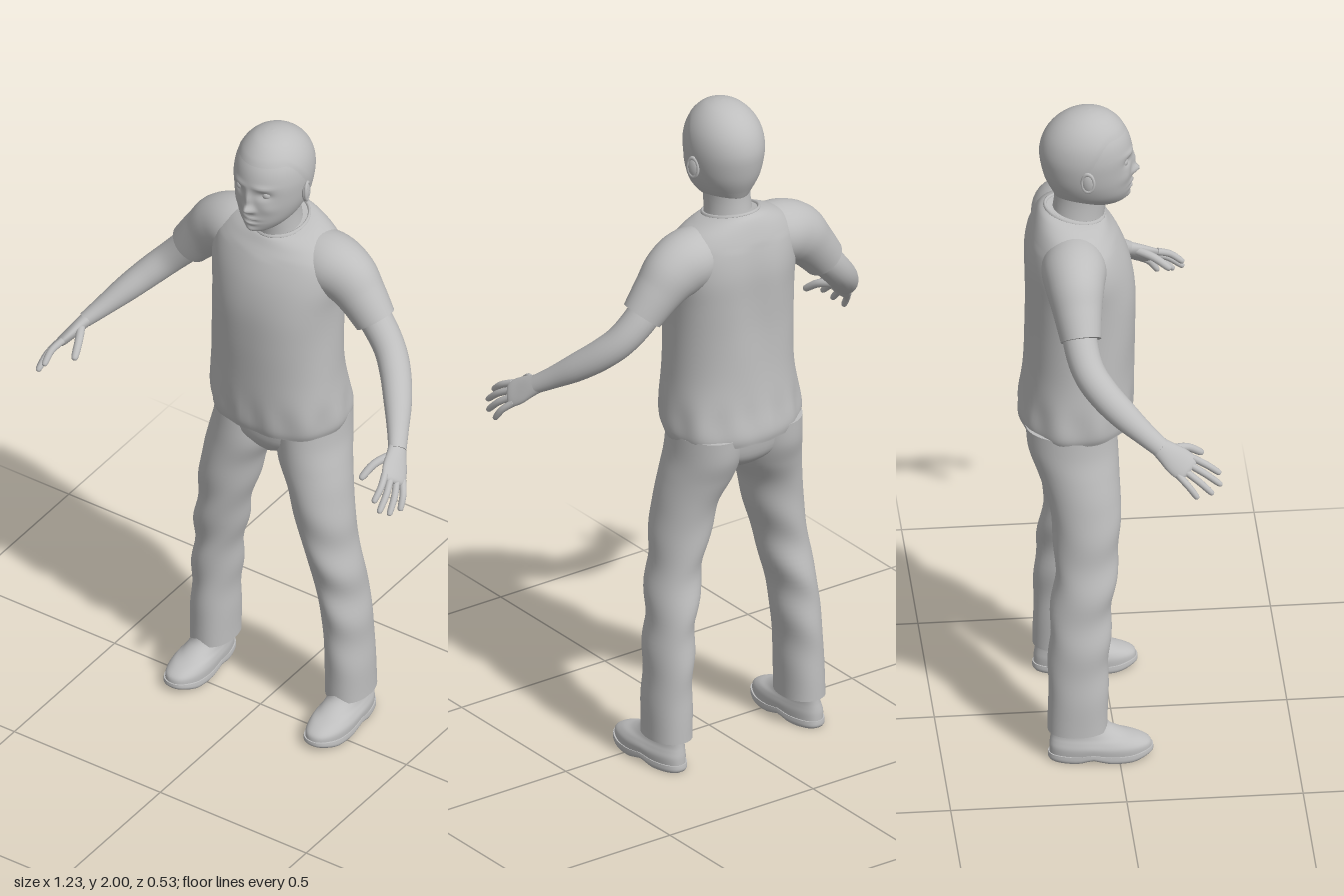
import * as THREE from 'three';

const clay = new THREE.MeshStandardMaterial({ color: 0xbebebe });
clay.name = 'light grey';
clay.side = THREE.DoubleSide;

// Smooth interpolation through table rows, t from 0 to 1
function sample(rows, t) {
  const s = Math.min(Math.max(t, 0), 1) * (rows.length - 1);
  const i = Math.min(Math.floor(s), rows.length - 2), f = s - i;
  const a = rows[Math.max(i - 1, 0)], b = rows[i], c = rows[i + 1], d = rows[Math.min(i + 2, rows.length - 1)];
  return b.map((_, k) => b[k] + 0.5 * f * (c[k] - a[k] + f * (2 * a[k] - 5 * b[k] + 4 * c[k] - d[k]
    + f * (3 * (b[k] - c[k]) + d[k] - a[k]))));
}

// Closed tube surface from point(u, angle), with flat caps on both ends
function skin(point, nu, nv, caps = true) {
  const pos = [], idx = [];
  for (let i = 0; i <= nu; i++)
    for (let j = 0; j < nv; j++) pos.push(...point(i / nu, (j / nv) * Math.PI * 2));
  for (let i = 0; i < nu; i++)
    for (let j = 0; j < nv; j++) {
      const k = (j + 1) % nv, a = i * nv + j, b = i * nv + k;
      idx.push(a, b, a + nv, b, b + nv, a + nv);
    }
  if (caps) for (const i of [0, nu]) {
    const start = pos.length / 3, mid = [0, 0, 0];
    for (let j = 0; j < nv; j++) {
      const p = pos.slice((i * nv + j) * 3, (i * nv + j) * 3 + 3);
      p.forEach((v, k) => { mid[k] += v / nv; });
      pos.push(...p);
    }
    pos.push(...mid);
    for (let j = 0; j < nv; j++) {
      const a = start + j, b = start + (j + 1) % nv;
      idx.push(start + nv, ...(i === 0 ? [b, a] : [a, b]));
    }
  }
  const g = new THREE.BufferGeometry();
  g.setAttribute('position', new THREE.Float32BufferAttribute(pos, 3));
  g.setIndex(idx);
  g.computeVertexNormals();
  return g;
}

// Point on a stack of level sections: [y, centreX, halfWidth, frontZ, backZ, squareness, tilt]
function level(rows, t, ang) {
  const [y, cx, hw, zf, zb, p, tilt] = sample(rows, t);
  const round = v => Math.sign(v) * Math.abs(v) ** (2 / p);
  const dz = -round(Math.sin(ang)) * (zf - zb) / 2;
  return [cx + round(Math.cos(ang)) * hw, y + tilt * dz, (zf + zb) / 2 + dz];
}
const stack = (rows, nu, nv, rule = p => p) => skin((u, a) => rule(level(rows, u, a)), nu, nv);

// Sweep along a path: rows [x, y, z, sideRadius, otherRadius]
function sweep(rows, side, nu, nv) {
  return skin((u, ang) => {
    const [x, y, z, a, b] = sample(rows, u);
    const q = sample(rows, u + 0.01), r = sample(rows, u - 0.01);
    const t = new THREE.Vector3(q[0] - r[0], q[1] - r[1], q[2] - r[2]).normalize();
    const s = new THREE.Vector3(...side).addScaledVector(t, -t.dot(new THREE.Vector3(...side))).normalize();
    const n = t.clone().cross(s);
    return new THREE.Vector3(x, y, z).addScaledVector(s, a * Math.cos(ang)).addScaledVector(n, b * Math.sin(ang)).toArray();
  }, nu, nv);
}

function mirrored(geo) {
  const g = geo.clone().scale(-1, 1, 1), ix = g.index.array;
  for (let i = 0; i < ix.length; i += 3) [ix[i], ix[i + 1]] = [ix[i + 1], ix[i]];
  g.computeVertexNormals();
  return g;
}

const headRows = [
  [1.70, 0, 0.035, 0.03, -0.12, 2, 0], [1.715, 0, 0.055, 0.046, -0.15, 2, 0], [1.745, 0, 0.078, 0.056, -0.168, 2, 0],
  [1.785, 0, 0.095, 0.058, -0.185, 2, 0], [1.83, 0, 0.104, 0.06, -0.196, 2, 0], [1.875, 0, 0.107, 0.061, -0.2, 2, 0],
  [1.92, 0, 0.1, 0.05, -0.188, 2, 0], [1.957, 0, 0.081, 0.027, -0.162, 2, 0], [1.983, 0, 0.054, -0.002, -0.127, 2, 0],
  [1.995, 0, 0.026, -0.034, -0.092, 2, 0], [1.998, 0, 0.002, -0.06, -0.064, 2, 0]];
// Face relief: [x, y, spreadX, spreadY, amount], mirrored in x
const relief = [
  [0, 1.798, 0.013, 0.014, 0.023], [0, 1.83, 0.010, 0.024, 0.012], [0.014, 1.794, 0.008, 0.008, 0.006],
  [0.043, 1.848, 0.02, 0.013, -0.010], [0.04, 1.875, 0.026, 0.008, 0.005], [0.055, 1.80, 0.02, 0.02, 0.004],
  [0, 1.764, 0.022, 0.006, 0.008], [0, 1.755, 0.028, 0.003, -0.004], [0, 1.746, 0.018, 0.006, 0.007], [0, 1.72, 0.02, 0.011, 0.008]];

function face([x, y, z]) {
  const front = THREE.MathUtils.smoothstep(z, -0.04, 0.02);
  for (const [bx, by, sx, sy, amp] of relief)
    z += front * amp * Math.exp(-(((Math.abs(x) - bx) / sx) ** 2) - ((y - by) / sy) ** 2);
  return [x, y, z];
}

// Short hair following the skull from a hairline that drops to the nape
function hair(u, ang) {
  const back = (1 + Math.sin(ang)) / 2;
  const start = 0.64 - 0.43 * THREE.MathUtils.smoothstep(back, 0.2, 0.85);
  const [x, y, z] = level(headRows, start + (1 - start) * u, ang);
  const k = 1 + 0.018 * Math.min(1, u * 8);
  return [x * k, Math.min(y + 0.002 * u, 2), (z + 0.065) * k - 0.065];
}

// Cloth folds: gathered hem, hollow spine and soft creases
function shirtFolds([x, y, z]) {
  const hem = Math.exp(-(((y - 1.05) / 0.06) ** 2)), ang = Math.atan2(z + 0.1, x);
  const k = 1 + 0.022 * hem * Math.sin(ang * 11 + 1) + 0.008 * Math.sin(ang * 5 + y * 16) * (y < 1.6 ? 1 : 0);
  const spine = z < -0.15 ? 0.014 * Math.exp(-((x / 0.05) ** 2) - ((y - 1.38) / 0.16) ** 2) : 0;
  return [x * k, y, (z + 0.1) * k - 0.1 + spine];
}
function trouserFolds([x, y, z]) {
  const fold = 0.004 * Math.sin(y * 38 + x * 25) * Math.exp(-(((y - 0.5) / 0.25) ** 2));
  return [x + fold, y, z + fold];
}

export function createModel() {
  const model = new THREE.Group();
  const add = (name, geo) => {
    const m = new THREE.Mesh(geo, clay);
    m.name = name;
    model.add(m);
  };
  const pair = (name, geo) => {
    add('left ' + name, geo);
    add('right ' + name, mirrored(geo));
  };

  // Head
  add('head', stack(headRows, 80, 110, face));
  add('hair', skin(hair, 24, 64, false));
  add('neck', stack([[1.60, 0, 0.08, -0.02, -0.18, 2, 0], [1.66, 0, 0.068, -0.018, -0.168, 2, 0],
    [1.72, 0, 0.063, -0.008, -0.16, 2, 0], [1.78, 0, 0.066, 0, -0.16, 2, 0]], 12, 32));
  pair('eye', new THREE.SphereGeometry(0.015, 16, 12).translate(0.043, 1.848, 0.031));
  pair('ear', new THREE.SphereGeometry(1, 16, 12).scale(0.010, 0.031, 0.020).rotateY(0.3).translate(0.106, 1.82, -0.072));
  pair('ear rim', new THREE.TorusGeometry(0.022, 0.005, 8, 20).scale(0.8, 1.3, 1).rotateY(Math.PI / 2 + 0.3).translate(0.109, 1.822, -0.074));

  // Shirt
  add('shirt body', stack([
    [1.0, 0, 0.2, 0.052, -0.258, 2.3, 0.03], [1.03, 0, 0.208, 0.058, -0.262, 2.3, 0.02], [1.1, 0, 0.204, 0.062, -0.252, 2.3, 0],
    [1.2, 0, 0.195, 0.066, -0.246, 2.2, 0], [1.32, 0, 0.192, 0.07, -0.246, 2.2, 0], [1.43, 0, 0.195, 0.068, -0.248, 2.2, 0],
    [1.52, 0, 0.205, 0.052, -0.248, 2.1, 0], [1.59, 0, 0.2, 0.025, -0.238, 2, 0], [1.635, 0, 0.165, 0.0, -0.222, 2, -0.06],
    [1.662, 0, 0.115, -0.012, -0.205, 2, -0.15], [1.672, 0, 0.08, -0.02, -0.188, 2, -0.2]], 60, 72, shirtFolds));
  add('collar', skin((u, a) => {
    const w = u * Math.PI * 2, r = 1 + 0.06 * Math.cos(w);
    const dz = -Math.sin(a) * 0.083 * r;
    return [Math.cos(a) * 0.079 * r, 1.671 - 0.2 * dz + 0.007 * Math.sin(w), -0.103 + dz];
  }, 8, 48, false).toNonIndexed());
  pair('sleeve', sweep([[0.06, 1.565, -0.115, 0.075, 0.08], [0.15, 1.565, -0.118, 0.092, 0.09], [0.215, 1.54, -0.12, 0.083, 0.088],
    [0.265, 1.493, -0.118, 0.07, 0.073], [0.317, 1.43, -0.113, 0.058, 0.062]], [0, 0, 1], 24, 32));

  // Trousers
  add('trouser seat', stack([[0.885, 0, 0.04, -0.03, -0.15, 2, 0], [0.91, 0, 0.09, -0.008, -0.2, 2.2, 0],
    [0.95, 0, 0.16, 0.008, -0.232, 2.3, 0], [1.03, 0, 0.192, 0.012, -0.245, 2.3, 0]], 16, 48));
  pair('trouser leg', stack([
    [0.09, 0.232, 0.064, -0.03, -0.2, 2.2, 0], [0.2, 0.23, 0.064, -0.028, -0.198, 2.1, 0], [0.32, 0.224, 0.064, -0.025, -0.197, 2, 0],
    [0.45, 0.21, 0.068, -0.016, -0.19, 2, 0], [0.58, 0.187, 0.073, 0, -0.176, 2, 0], [0.7, 0.163, 0.083, 0.012, -0.179, 2, 0],
    [0.8, 0.145, 0.09, 0.015, -0.192, 2, 0], [0.88, 0.119, 0.101, 0.014, -0.218, 2, 0], [0.95, 0.107, 0.1, 0.011, -0.243, 2, 0],
    [1.02, 0.102, 0.1, 0.008, -0.25, 2, 0]], 60, 40, trouserFolds));

  // Shoes, narrower at the heel, with toe spring and arch in the sole
  const shape = ([x, y, z]) => {
    const k = 0.86 + 0.14 * THREE.MathUtils.smoothstep(z, -0.16, 0.03);
    const arch = 0.012 * Math.exp(-(((z + 0.075) / 0.03) ** 2)) + 0.014 * THREE.MathUtils.smoothstep(z, 0.03, 0.1);
    return [0.24 + (x - 0.24) * k, y + arch * Math.max(0, 1 - y / 0.06), z];
  };
  pair('shoe sole', stack([[0, 0.24, 0.06, 0.094, -0.195, 2.4, 0], [0.008, 0.24, 0.064, 0.099, -0.2, 2.4, 0],
    [0.022, 0.24, 0.063, 0.098, -0.199, 2.4, 0]], 6, 56, shape));
  pair('shoe upper', stack([[0.018, 0.24, 0.06, 0.095, -0.196, 2.3, 0], [0.042, 0.24, 0.061, 0.09, -0.196, 2.3, 0],
    [0.06, 0.238, 0.056, 0.066, -0.194, 2.2, 0], [0.075, 0.236, 0.05, 0.02, -0.192, 2.1, 0],
    [0.1, 0.234, 0.047, -0.024, -0.19, 2, 0], [0.14, 0.232, 0.045, -0.04, -0.185, 2, 0]], 24, 48, shape));

  // Arms and hands
  pair('arm', sweep([[0.26, 1.495, -0.118, 0.05, 0.05], [0.32, 1.425, -0.115, 0.049, 0.048], [0.375, 1.365, -0.098, 0.047, 0.045],
    [0.42, 1.318, -0.062, 0.046, 0.043], [0.465, 1.27, -0.008, 0.042, 0.038], [0.505, 1.226, 0.05, 0.033, 0.029],
    [0.535, 1.194, 0.096, 0.028, 0.022]], [-0.45, 0.55, 0.7], 36, 24));
  const across = [-0.45, 0.55, 0.7];
  pair('palm', sweep([[0.525, 1.204, 0.08, 0.026, 0.021], [0.54, 1.186, 0.107, 0.033, 0.019], [0.556, 1.163, 0.139, 0.042, 0.017],
    [0.57, 1.145, 0.166, 0.041, 0.014], [0.574, 1.139, 0.174, 0.03, 0.007]], across, 20, 24));
  const tips = { 'index finger': [0.033, 0.565, 1.12, 0.26], 'middle finger': [0.011, 0.585, 1.093, 0.262],
    'ring finger': [-0.011, 0.602, 1.075, 0.236], 'little finger': [-0.032, 0.61, 1.068, 0.192] };
  const finger = (name, a, b, c, r) => pair(name, sweep([[...a, r, r], [...b, r * 0.95, r * 0.95],
    [...c.map((v, k) => b[k] + (v - b[k]) * 0.85), r * 0.8, r * 0.8], [...c, r * 0.15, r * 0.15]], across, 14, 12));
  for (const [name, [off, ...tip]] of Object.entries(tips)) {
    const root = [0.567, 1.15, 0.16].map((v, k) => v + across[k] * off);
    const joint = root.map((v, k) => (v + tip[k]) / 2 + [0.006, 0.006, 0][k]);
    finger(name, root, joint, tip, 0.0105);
  }
  finger('thumb', [0.535, 1.19, 0.115], [0.507, 1.178, 0.168], [0.49, 1.145, 0.217], 0.0125);

  return model;
}
